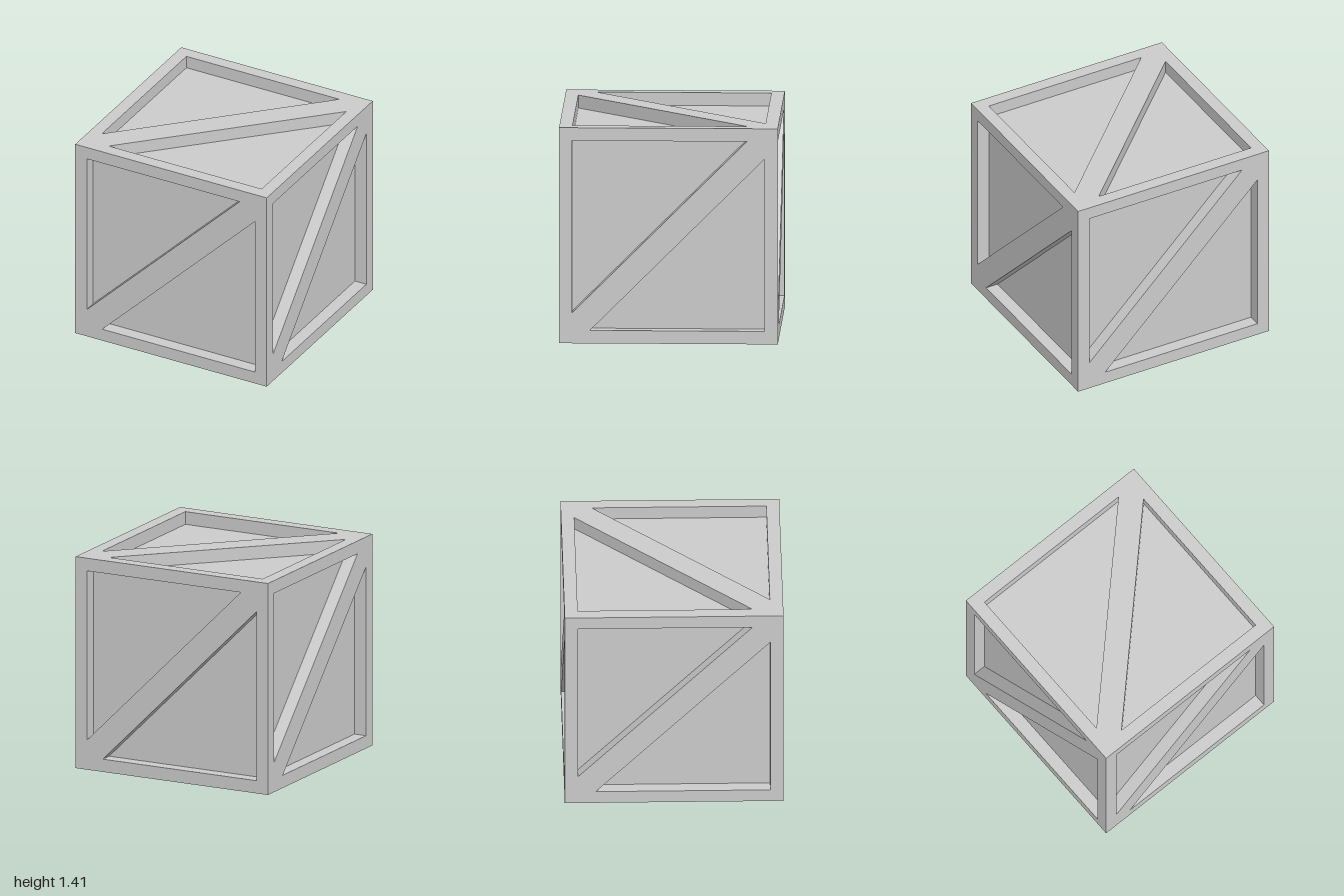
import * as THREE from 'three';

const H = 0.707;    // half the cube edge
const D = 0.085;    // recess depth, also the frame width
const M = H - D;    // inner edge of the frame
const E = 0.507;    // where the diagonal brace meets the frame

// Square frame with a diagonal brace, facing +z, mitred at the back
function frameGeometry() {
  const pts = (list) => list.map(([x, y]) => new THREE.Vector2(x, y));
  const shape = new THREE.Shape(pts([[-H, -H], [H, -H], [H, H], [-H, H]]));
  shape.holes.push(new THREE.Path(pts([[-M, M], [-M, -E], [E, M]])));
  shape.holes.push(new THREE.Path(pts([[M, -M], [M, E], [-E, -M]])));
  const geo = new THREE.ExtrudeGeometry(shape, { depth: D, bevelEnabled: false });

  // Pull the outer rim of the back inward so neighbouring frames meet in a mitre
  const p = geo.attributes.position;
  for (let i = 0; i < p.count; i++) {
    if (p.getZ(i) < D / 2 && Math.abs(p.getX(i)) > M + 0.01) {
      p.setX(i, Math.sign(p.getX(i)) * M);
      p.setY(i, Math.sign(p.getY(i)) * M);
    }
  }
  geo.translate(0, 0, M);
  geo.computeVertexNormals();
  return geo;
}

export function createModel() {
  const grey = new THREE.MeshStandardMaterial({ color: 0xcccccc });
  grey.name = 'crateGrey';

  const crate = new THREE.Group();
  crate.name = 'crate';

  // Recessed panels
  const core = new THREE.Mesh(new THREE.BoxGeometry(2 * M, 2 * M, 2 * M), grey);
  core.name = 'panels';
  crate.add(core);

  // Braced frames on all six sides
  const geo = frameGeometry();
  const q = Math.PI / 2;
  const sides = [
    ['frontRightFrame', 0, 0, 0],
    ['frontLeftFrame', 0, q, 0],
    ['backLeftFrame', 0, 2 * q, 0],
    ['backRightFrame', 0, 3 * q, 0],
    ['topFrame', -q, 0, q],
    ['bottomFrame', q, 0, 0],
  ];
  for (const [name, rx, ry, rz] of sides) {
    const frame = new THREE.Mesh(geo, grey);
    frame.name = name;
    frame.rotation.set(rx, ry, rz);
    crate.add(frame);
  }

  // Stand the crate on the ground with one edge to the front
  crate.rotation.y = Math.PI / 4 + 0.007;
  crate.position.y = H;

  const model = new THREE.Group();
  model.name = 'bracedCrate';
  model.add(crate);
  return model;
}
